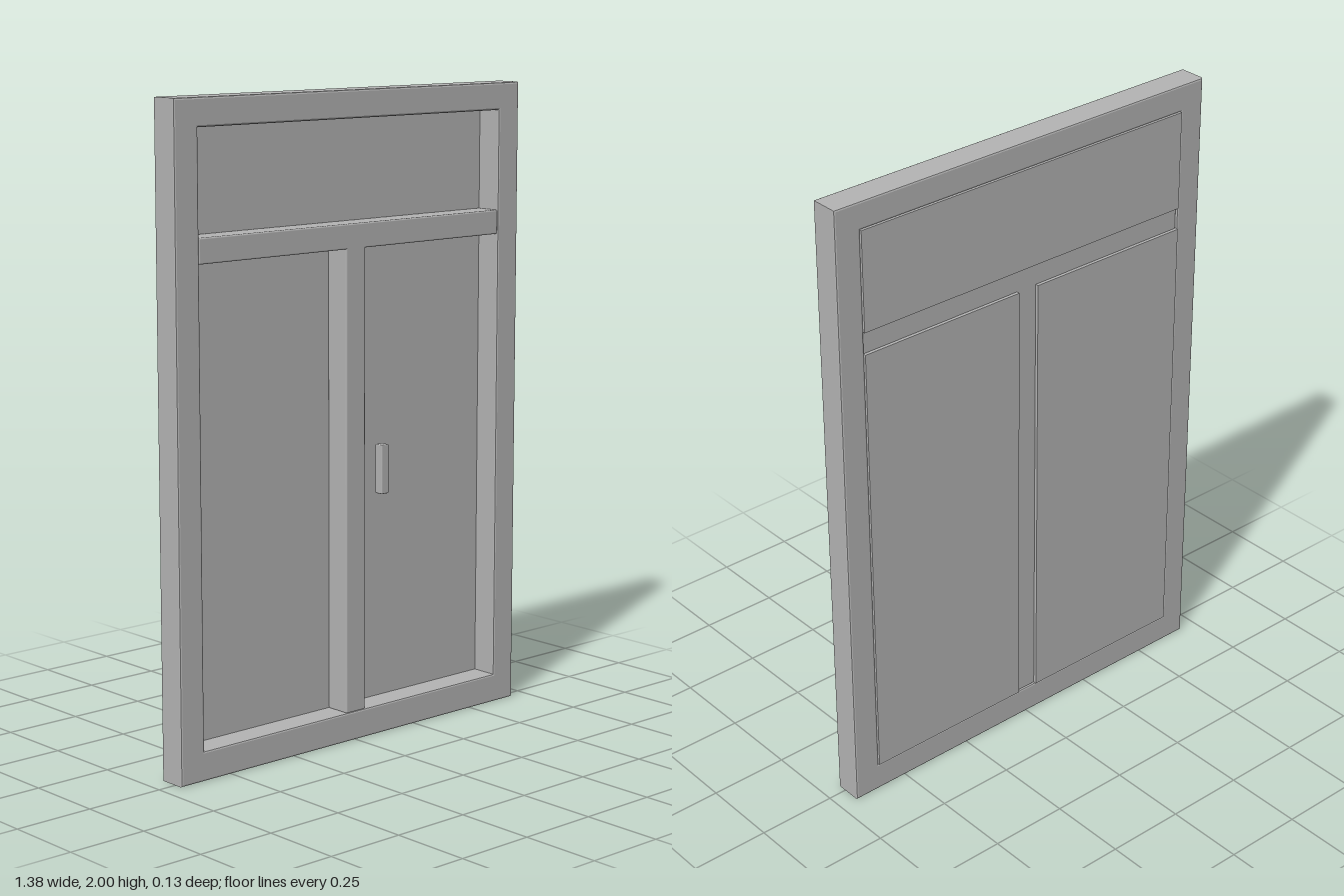
import * as THREE from 'three';
import { RoundedBoxGeometry } from 'three/addons/geometries/RoundedBoxGeometry.js';

const grey = new THREE.MeshStandardMaterial({ color: 0xb3b3b3 });
grey.name = 'plain grey';

// Box given by its limits on each axis, with optional rounded edges
function box(name, [x0, x1], [y0, y1], [z0, z1], radius = 0) {
  const size = [x1 - x0, y1 - y0, z1 - z0];
  const geometry = radius
    ? new RoundedBoxGeometry(...size, 2, radius)
    : new THREE.BoxGeometry(...size);
  const mesh = new THREE.Mesh(geometry, grey);
  mesh.name = name;
  mesh.position.set((x0 + x1) / 2, (y0 + y1) / 2, (z0 + z1) / 2);
  return mesh;
}

function rectangle(Type, x, y0, y1) {
  const path = new Type();
  path.moveTo(-x, y0);
  path.lineTo(x, y0);
  path.lineTo(x, y1);
  path.lineTo(-x, y1);
  path.closePath();
  return path;
}

// Outer frame: one bevelled ring
function outerFrame(back, front) {
  const bevel = 0.006;
  const shape = rectangle(THREE.Shape, 0.69, 0, 2);
  shape.holes.push(rectangle(THREE.Path, 0.603, 0.092, 1.915));
  const geometry = new THREE.ExtrudeGeometry(shape, {
    depth: front - back - 2 * bevel,
    bevelThickness: bevel,
    bevelSize: bevel,
    bevelOffset: -bevel,
    bevelSegments: 2,
  });
  geometry.translate(0, 0, back + bevel);
  const mesh = new THREE.Mesh(geometry, grey);
  mesh.name = 'outerFrame';
  return mesh;
}

export function createModel() {
  const model = new THREE.Group();
  model.name = 'window';
  model.add(outerFrame(-0.06, 0.031));

  // Crossbar and centre post, set just inside the frame depth
  const barDepth = [-0.054, 0.029];
  model.add(box('transom', [-0.603, 0.603], [1.527, 1.603], barDepth, 0.005));
  model.add(box('mullion', [-0.039, 0.039], [0.09, 1.56], barDepth, 0.005));

  // Thin panes standing slightly proud of the back
  const paneDepth = [-0.064, -0.053];
  model.add(box('topPane', [-0.603, 0.603], [1.6, 1.915], paneDepth));
  model.add(box('rightPane', [-0.603, -0.036], [0.092, 1.53], paneDepth));
  model.add(box('leftPane', [0.036, 0.603], [0.092, 1.53], paneDepth));

  // Handle in front of the left casement
  model.add(box('handle', [0.076, 0.105], [0.77, 0.923], [0.033, 0.063], 0.003));
  return model;
}
